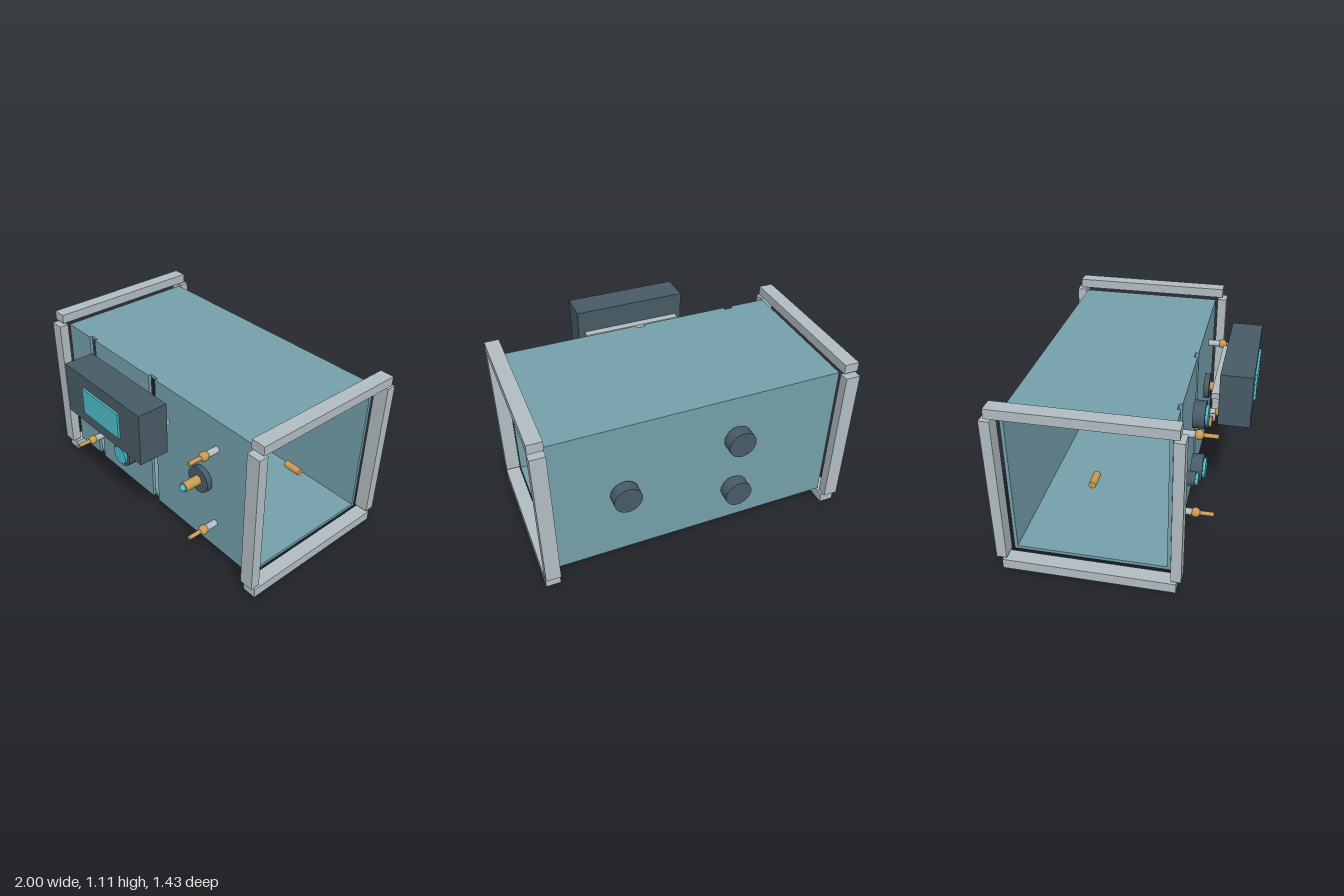
import * as THREE from 'three';

const mat = (name, color) => {
  const m = new THREE.MeshStandardMaterial({ color });
  m.name = name;
  return m;
};

export function createModel() {
  const teal = mat('tealShell', 0x74a0ab);
  const grey = mat('lightGrey', 0xb2bdc3);
  const dark = mat('darkSlate', 0x485b66);
  const cyan = mat('cyan', 0x4dbccb);
  const gold = mat('brass', 0xc89b52);

  const model = new THREE.Group();
  model.name = 'controlEnclosure';

  const group = (name, x = 0, y = 0, z = 0) => {
    const g = new THREE.Group();
    g.name = name;
    g.position.set(x, y, z);
    model.add(g);
    return g;
  };
  const add = (parent, name, geo, material) => {
    const m = new THREE.Mesh(geo, material);
    m.name = name;
    parent.add(m);
    return m;
  };
  // Box given by its limits on each axis
  const box = (parent, name, material, [x0, x1], [y0, y1], [z0, z1]) => {
    const m = add(parent, name, new THREE.BoxGeometry(x1 - x0, y1 - y0, z1 - z0), material);
    m.position.set((x0 + x1) / 2, (y0 + y1) / 2, (z0 + z1) / 2);
    return m;
  };
  // Cylinder along z between two depths
  const rod = (parent, name, material, r, z0, z1, sides = 32) => {
    const geo = new THREE.CylinderGeometry(r, r, z1 - z0, sides).rotateX(Math.PI / 2);
    geo.translate(0, 0, (z0 + z1) / 2);
    return add(parent, name, geo, material);
  };
  const ball = (parent, name, material, r, z) =>
    add(parent, name, new THREE.SphereGeometry(r, 24, 16).translate(0, 0, z), material);

  // Open-ended shell, its front split by two vertical slots
  const shell = group('shell');
  const W = 0.908, bottom = 0.085, top = 1.033, back = -0.617, front = 0.337, t = 0.021;
  box(shell, 'topPanel', teal, [-W, W], [top - t, top], [back, front - t]);
  box(shell, 'bottomPanel', teal, [-W, W], [bottom, bottom + t], [back, front - t]);
  box(shell, 'backPanel', teal, [-W, W], [bottom + t, top - t], [back, back + t]);
  for (const span of [[-W, -0.667], [-0.608, -0.03], [0.03, W]])
    box(shell, 'frontPanel', teal, span, [bottom, top], [front - t, front]);

  // End frames, four loose bars on each side
  for (const s of [-1, 1]) {
    const frame = group(s < 0 ? 'rightEndFrame' : 'leftEndFrame');
    const x = s < 0 ? [-1, -W] : [W, 1];
    box(frame, 'frontPost', grey, x, [bottom, 1.035], [0.352, 0.414]);
    box(frame, 'backPost', grey, x, [bottom, 1.035], [-0.697, -0.634]);
    box(frame, 'topRail', grey, x, [1.052, 1.112], [-0.665, 0.385]);
    box(frame, 'bottomRail', grey, x, [0, 0.065], [-0.665, 0.385]);

    // Short brass pin inside each open end
    const pin = group('innerPin', s * 0.76, 0.56, -0.14);
    add(pin, 'pin', new THREE.CylinderGeometry(0.022, 0.022, 0.11, 24).rotateZ(Math.PI / 2), gold);
  }

  // Display with its rear bracket
  const display = group('display');
  box(display, 'displayHousing', dark, [-0.366, 0.366], [0.774, 1.105], [0.511, 0.703]);
  box(display, 'screen', cyan, [-0.176, 0.176], [0.856, 1.026], [0.703, 0.716]);
  box(display, 'bracket', grey, [-0.325, 0.325], [0.921, 0.958], [0.462, 0.511]);

  // Round buttons and pointer knob, repeated at the back wall
  for (const side of ['front', 'back']) {
    const z = side === 'front' ? 0.355 : -0.714;
    for (const y of [0.36, 0.755]) {
      const button = group(side + 'Button', -0.24, y, z);
      rod(button, 'buttonBody', dark, 0.087, 0, 0.075);
      rod(button, 'buttonFace', cyan, 0.064, 0.075, side === 'front' ? 0.092 : 0.1);
    }
    const knob = group(side + 'Knob', 0.472, 0.56, side === 'front' ? 0.3 : -0.705);
    rod(knob, 'knobDisc', dark, 0.087, 0, 0.073);
    rod(knob, 'knobShaft', gold, 0.031, 0.073, 0.183);
    ball(knob, 'knobTip', cyan, 0.022, 0.188);
  }

  // Sliders riding in the slots
  for (const [x, tip] of [[-0.637, cyan], [0, gold]]) {
    const slider = group('slider', x, 0.56, 0);
    rod(slider, 'sliderStem', grey, 0.027, 0.31, 0.34);
    rod(slider, 'sliderWasher', grey, 0.062, 0.34, 0.37);
    rod(slider, 'sliderBody', dark, 0.043, 0.37, 0.43);
    rod(slider, 'sliderTip', tip, 0.036, 0.43, 0.446, 10);
  }

  // Toggle levers at the four corners
  for (const x of [-0.595, 0.593])
    for (const y of [0.281, 0.838]) {
      const toggle = group('toggle', x, y, 0);
      rod(toggle, 'toggleBase', grey, 0.021, 0.3, 0.42);
      ball(toggle, 'toggleJoint', gold, 0.03, 0.433);
      rod(toggle, 'toggleLever', gold, 0.013, 0.433, 0.545);
    }

  return model;
}
